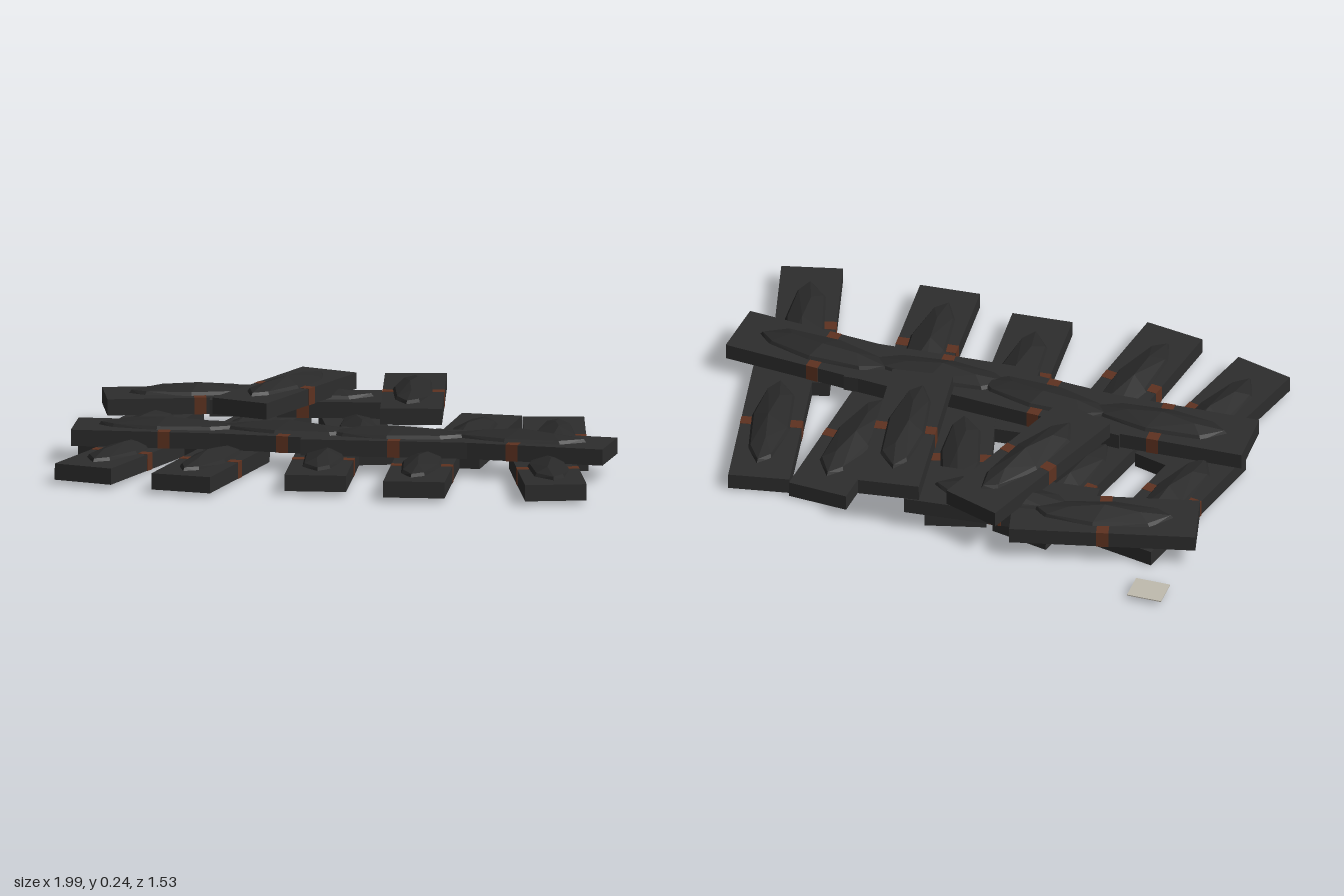
import * as THREE from 'three';
import { ConvexGeometry } from 'three/addons/geometries/ConvexGeometry.js';

const LENGTH = 0.68, WIDTH = 0.225, THICK = 0.06;

// Faceted leaf-shaped hump of charred wood, long axis along x
function humpGeometry() {
  const outline = [
    [-0.255, 0], [-0.17, -0.065], [0.04, -0.075], [0.22, -0.03],
    [0.26, 0.02], [0.17, 0.065], [-0.03, 0.08], [-0.2, 0.045],
  ];
  const points = [];
  for (const [x, z] of outline) {
    points.push(new THREE.Vector3(x, -0.005, z));
    points.push(new THREE.Vector3(x * 0.95, 0.012, z * 0.85));
  }
  for (const [x, y, z] of [[-0.13, 0.029, -0.012], [0, 0.038, 0.012], [0.13, 0.028, 0.004]]) {
    points.push(new THREE.Vector3(x, y, z));
  }
  return new ConvexGeometry(points);
}

export function createModel() {
  const model = new THREE.Group();
  model.name = 'charredPlankPile';

  const material = (name, color) => {
    const m = new THREE.MeshStandardMaterial({ color });
    m.name = name;
    return m;
  };
  const charcoal = material('charcoal', 0x2d2d2d);
  const soot = material('soot', 0x292929);
  const ember = material('ember', 0x5e3220);
  const ash = material('paleAsh', 0xc0bbae);

  const board = new THREE.BoxGeometry(LENGTH, THICK, WIDTH);
  const hump = humpGeometry();
  const band = new THREE.BoxGeometry(0.045, THICK + 0.002, WIDTH + 0.002);

  const addMesh = (parent, name, geometry, mat) => {
    const mesh = new THREE.Mesh(geometry, mat);
    mesh.name = name;
    parent.add(mesh);
    return mesh;
  };

  // One plank: centre, heading (dx, dz) in plan, and a slight tilt
  function plank(name, x, y, z, dx, dz, tilt, flip) {
    const g = new THREE.Group();
    g.name = name;
    addMesh(g, 'board', board, charcoal);
    const top = addMesh(g, 'charHump', hump, soot);
    top.position.y = THICK / 2;
    top.rotation.y = flip ? Math.PI : 0;
    addMesh(g, 'emberBand', band, ember);
    g.position.set(x, y, z);
    g.rotation.set(0, -Math.atan2(dz, dx), tilt, 'YXZ');
    model.add(g);
  }

  // Rows of planks: [x, z, dx, dz]
  const rows = [
    { name: 'frontPlank', y: 0.045, tilt: -0.022, list: [
      [-0.79, 0.305, 34, -123], [-0.446, 0.406, 21, -125], [-0.043, 0.327, -9, -127],
      [0.33, 0.385, -9, -127], [0.79, 0.365, -31, -123]] },
    { name: 'backPlank', y: 0.042, tilt: 0.005, list: [
      [-0.8, -0.2, 27, -124], [-0.41, -0.23, 28, -124], [0.0, -0.225, -33, -123],
      [0.41, -0.235, 9, -127], [0.722, -0.235, -23, -125]] },
    { name: 'crossPlank', y: 0.107, tilt: 0, list: [
      [-0.65, 0.128, 127, -4], [-0.2, 0.138, 127, 9], [0.2, 0.16, 127, -7], [0.652, 0.16, 127, 11]] },
    { name: 'rearCrossPlank', y: 0.112, tilt: 0, list: [
      [-0.635, -0.48, 125, -31], [-0.24, -0.475, 127, -11]] },
    { name: 'topPlank', y: 0.18, tilt: -0.01, list: [
      [-0.29, -0.32, 43, -120], [0.19, -0.29, -17, -127]] },
  ];
  for (const { name, y, tilt, list } of rows) {
    list.forEach(([x, z, dx, dz], i) => plank(name + (i + 1), x, y, z, dx, dz, tilt, i % 2 === 1));
  }

  // Loose flake behind the pile
  const flake = addMesh(model, 'looseFlake', new THREE.BoxGeometry(0.13, 0.004, 0.107), ash);
  flake.position.set(-0.882, 0.027, -0.718);

  // Rest the pile on the ground
  const box = new THREE.Box3().setFromObject(model, true);
  for (const child of model.children) child.position.y -= box.min.y;
  return model;
}
